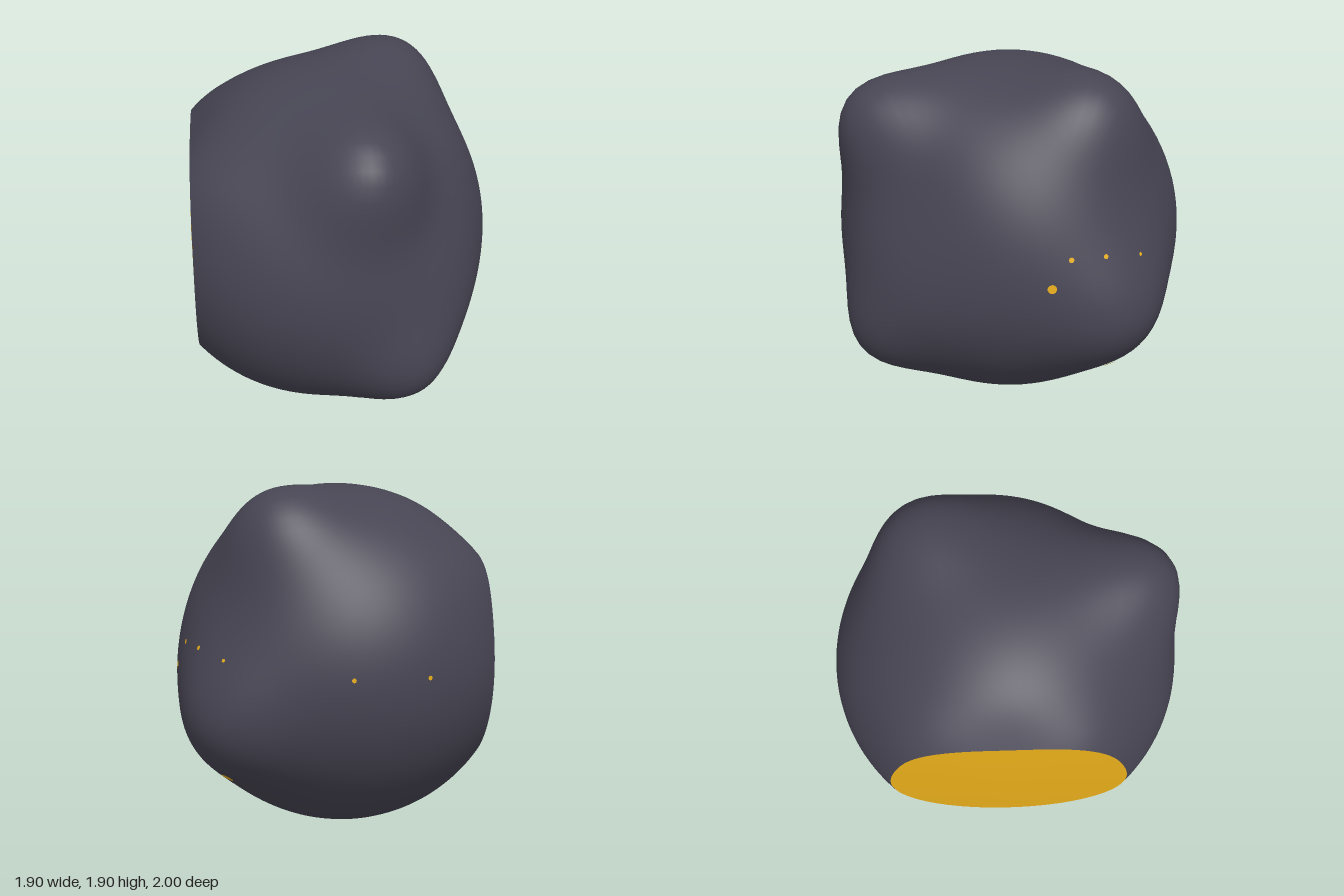
import * as THREE from 'three';

const CENTER = new THREE.Vector3(-0.005, 0.94, 0.055);
const RADIUS = 0.94;
const CUT_DISTANCE = 0.69;

// Rounded lumps and dents on the ball: direction, height, tightness
const LUMPS = [
  [[0.03, 0.78, -0.62], 0.195, 18],   // top rear knob
  [[0.75, 0.78, 0.46], 0.235, 21],    // upper left knob
  [[0.42, 0.88, 0.25], 0.025, 20],    // ridge between the upper knobs
  [[0.88, -0.56, 0.29], 0.155, 22],   // lower left knob
  [[0.95, -0.3, 0], 0.03, 20],        // swelling above it
  [[0.2, -0.3, -1], 0.167, 15],       // rear knob
  [[-0.8, 0.52, 0.06], 0.035, 30],    // cut rim shoulders
  [[-0.22, 0.53, 0.86], 0.035, 30],
  [[-0.55, 0.65, 0.5], -0.025, 30],   // hollow between the shoulders
  [[0.85, 0.15, -0.3], -0.05, 8],     // shallow side dents
  [[0.82, 0.42, 0.08], -0.04, 14],
].map(([d, height, k]) => ({ dir: new THREE.Vector3(...d).normalize(), height, k }));

function radiusAt(dir) {
  let r = RADIUS;
  for (const l of LUMPS) r += l.height * Math.exp(l.k * (dir.dot(l.dir) - 1));
  return r;
}

function surfacePoint(dir) {
  return dir.clone().multiplyScalar(radiusAt(dir)).add(CENTER);
}

// Surface normal from two small steps around a direction
function surfaceNormal(dir) {
  const a = new THREE.Vector3(0, 1, 0).cross(dir).normalize();
  const b = dir.clone().cross(a);
  const slope = (t) => {
    const ahead = dir.clone().addScaledVector(t, 0.02).normalize();
    const behind = dir.clone().addScaledVector(t, -0.02).normalize();
    return surfacePoint(ahead).sub(surfacePoint(behind));
  };
  return slope(a).cross(slope(b)).normalize();
}

// Axes of the flat cut
const cutNormal = new THREE.Vector3(-0.738, 0, 0.675).normalize();
const cutSide = new THREE.Vector3(0, 1, 0).cross(cutNormal).normalize();
const cutUp = cutNormal.clone().cross(cutSide);

function direction(theta, phi) {
  return cutNormal.clone().multiplyScalar(Math.cos(theta))
    .addScaledVector(cutSide, Math.sin(theta) * Math.cos(phi))
    .addScaledVector(cutUp, Math.sin(theta) * Math.sin(phi));
}

// Angle at which the lumpy surface meets the cut plane
function rimAngle(phi) {
  let lo = 0.1, hi = 1.5;
  for (let i = 0; i < 30; i++) {
    const mid = (lo + hi) / 2;
    if (radiusAt(direction(mid, phi)) * Math.cos(mid) > CUT_DISTANCE) lo = mid;
    else hi = mid;
  }
  return lo;
}

function makeGeometry(points, index) {
  const g = new THREE.BufferGeometry().setFromPoints(points);
  g.setIndex(index);
  g.computeVertexNormals();
  return g;
}

export function createModel() {
  const model = new THREE.Group();
  model.name = 'cutStone';
  const stone = new THREE.MeshStandardMaterial({ color: 0x474553 });
  stone.name = 'dark stone';
  const gold = new THREE.MeshStandardMaterial({ color: 0xe8ae1a });
  gold.name = 'gold';

  const add = (name, geometry, material) => {
    const mesh = new THREE.Mesh(geometry, material);
    mesh.name = name;
    model.add(mesh);
    return mesh;
  };

  // Lumpy shell: rings from the cut rim to the opposite pole
  const rings = 72, segments = 96;
  const points = [], index = [];
  const angles = Array.from({ length: segments }, (_, j) => rimAngle(j / segments * Math.PI * 2));
  for (let i = 0; i <= rings; i++) {
    for (let j = 0; j < segments; j++) {
      const theta = THREE.MathUtils.lerp(angles[j], Math.PI, i / rings);
      points.push(surfacePoint(direction(theta, j / segments * Math.PI * 2)));
      if (i === rings) continue;
      const a = i * segments + j, b = i * segments + (j + 1) % segments;
      index.push(a, a + segments, b);
      if (i < rings - 1) index.push(b, a + segments, b + segments);
    }
  }
  add('stoneShell', makeGeometry(points, index), stone);

  // Gold face filling the cut, very slightly raised in the middle
  const hub = CENTER.clone().addScaledVector(cutNormal, CUT_DISTANCE + 0.025);
  const fan = [];
  for (let j = 0; j < segments; j++) fan.push(0, j + 1, (j + 1) % segments + 1);
  add('goldCutFace', makeGeometry([hub, ...points.slice(0, segments)], fan), gold);

  // Tiny gold flecks lying on the shell: direction and size
  const flecks = [
    [0.55, 0, -0.74, 0.024], [0.47, 0.14, -0.8, 0.014], [0.17, -0.48, -0.75, 0.035],
    [0.33, 0.14, -0.93, 0.013], [0.12, 0.1, -0.97, 0.01],
    [-0.52, 0.03, -0.78, 0.012], [-0.74, 0.02, -0.46, 0.012],
  ];
  for (const [x, y, z, size] of flecks) {
    const dir = new THREE.Vector3(x, y, z).normalize();
    const normal = surfaceNormal(dir);
    const fleck = add('goldFleck', new THREE.CircleGeometry(size, 12), gold);
    fleck.position.copy(surfacePoint(dir)).addScaledVector(normal, 0.004);
    fleck.quaternion.setFromUnitVectors(new THREE.Vector3(0, 0, 1), normal);
  }
  return model;
}
